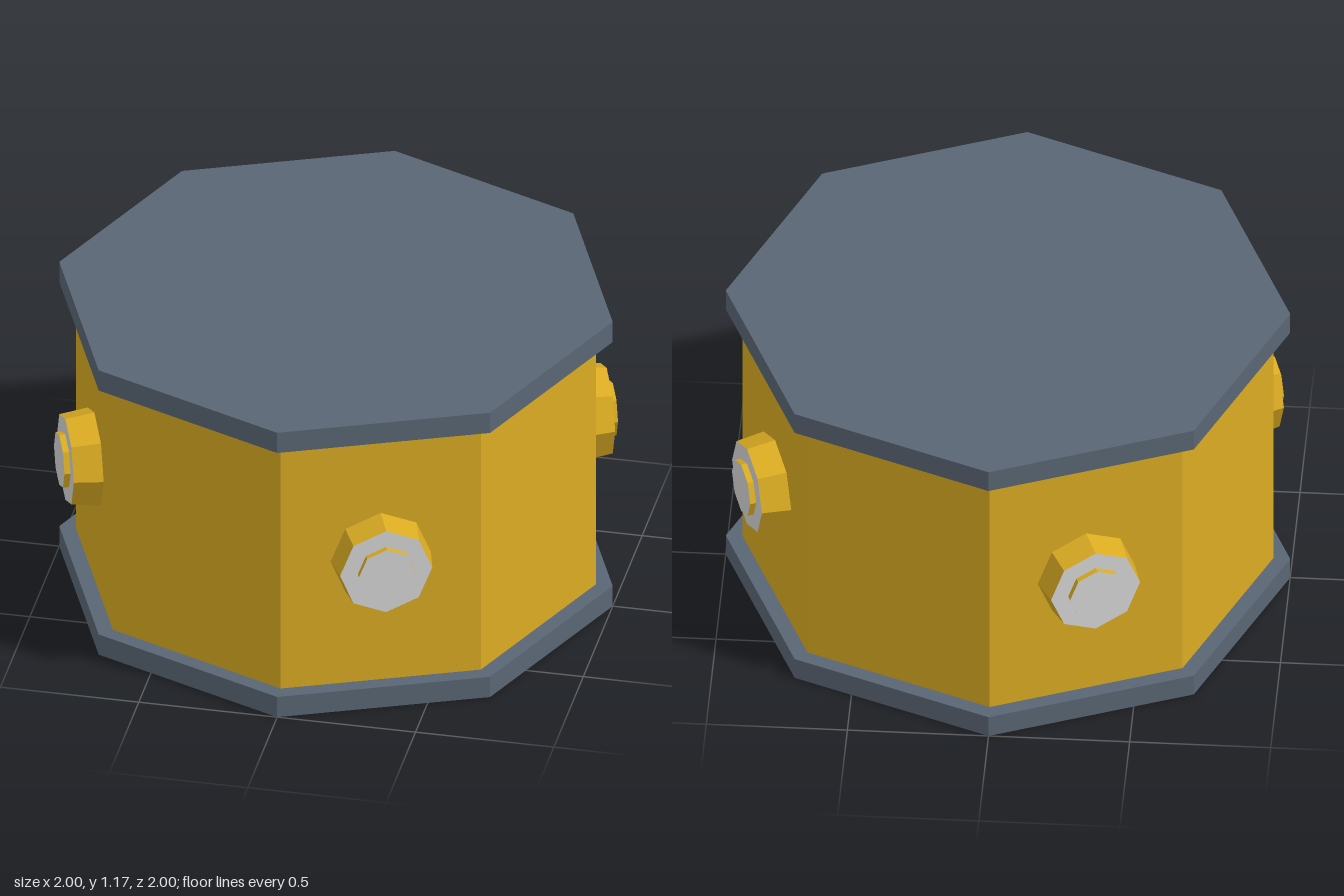
import * as THREE from 'three';

const material = (name, color) => {
  const m = new THREE.MeshStandardMaterial({ color, flatShading: true });
  m.name = name;
  return m;
};

export function createModel() {
  const slate = material('slate', 0x5a6674);
  const yellow = material('yellow', 0xdaab22);
  const grey = material('light grey', 0xd6d6d6);
  const model = new THREE.Group();
  model.name = 'octagonalDrum';

  // Octagonal prism standing between two heights, with a corner on each axis
  const prism = (name, radius, y0, y1, mat) => {
    const mesh = new THREE.Mesh(new THREE.CylinderGeometry(radius, radius, y1 - y0, 8), mat);
    mesh.name = name;
    mesh.position.y = (y0 + y1) / 2;
    model.add(mesh);
  };
  prism('bottomCap', 1, 0, 0.083, slate);
  prism('body', 0.94, 0.083, 1.085, yellow);
  prism('topCap', 1, 1.085, 1.168, slate);

  // Eight-sided disc along +z: yellow sides, grey front face
  const disc = (name, rOuter, rInner, z0, z1) => {
    const geometry = new THREE.CylinderGeometry(rOuter, rInner, z1 - z0, 8);
    geometry.rotateX(Math.PI / 2);
    const mesh = new THREE.Mesh(geometry, [yellow, grey, yellow]);
    mesh.name = name;
    mesh.position.z = (z0 + z1) / 2;
    return mesh;
  };

  // A tapered bolt on every second face
  for (let i = 0; i < 4; i++) {
    const bolt = new THREE.Group();
    bolt.name = 'bolt' + (i + 1);
    bolt.add(
      disc('boltBase', 0.166, 0.181, 0.865, 0.973),
      disc('boltHead', 0.102, 0.102, 0.97, 0.995)
    );
    bolt.position.y = 0.585;
    bolt.rotation.y = Math.PI / 8 + (i * Math.PI) / 2;
    model.add(bolt);
  }
  return model;
}
